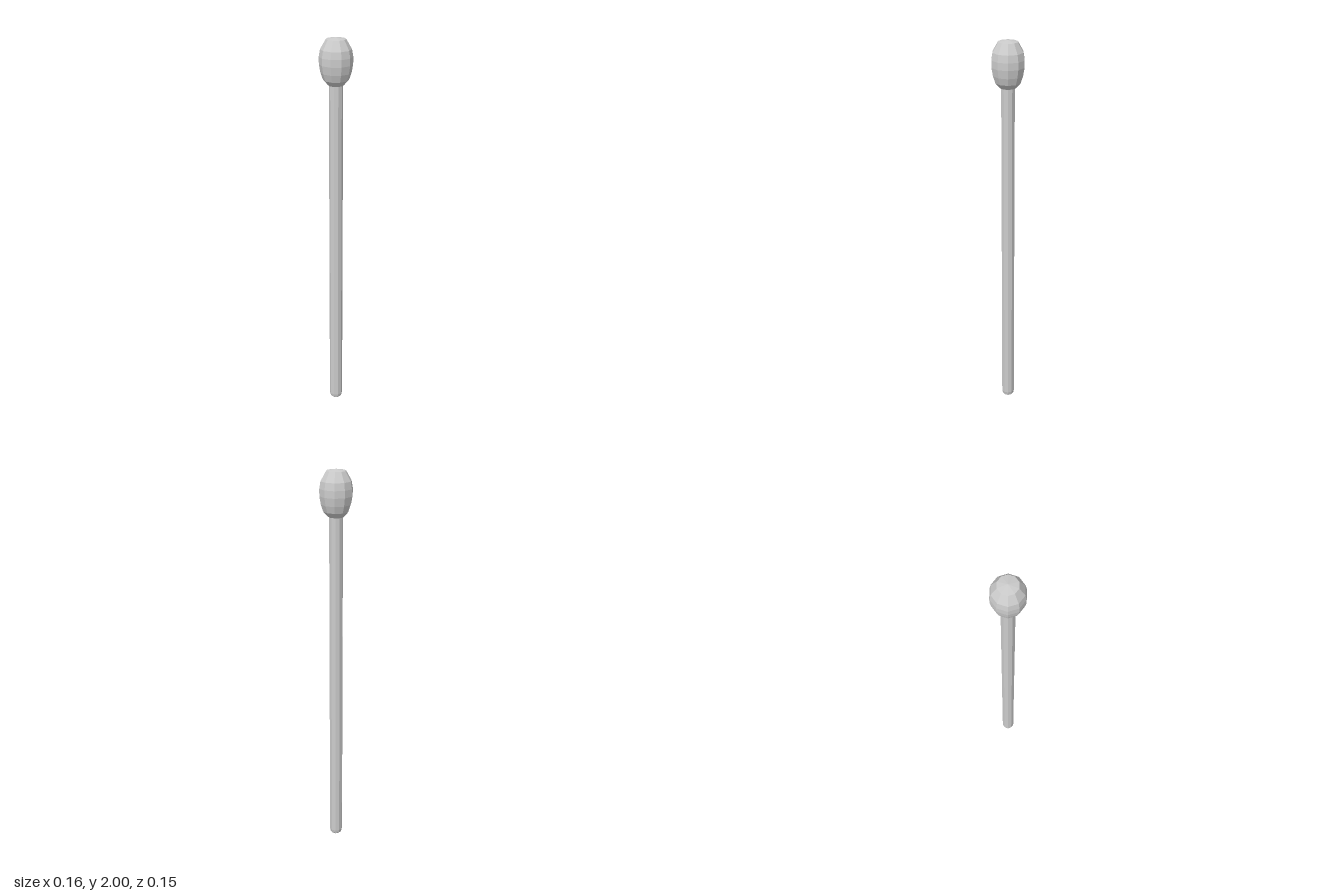
import * as THREE from 'three';

const SIDES = 10;

// Faceted turned part from [radius, y] pairs, with a corner on the x axis
function turned(name, profile) {
  const points = profile.map(([r, y]) => new THREE.Vector2(r, y));
  const geometry = new THREE.LatheGeometry(points, SIDES, Math.PI / 2);
  const material = new THREE.MeshStandardMaterial({ color: 0xcccccc, flatShading: true });
  const mesh = new THREE.Mesh(geometry, material);
  mesh.name = name;
  return mesh;
}

export function createModel() {
  const model = new THREE.Group();
  model.name = 'swab';

  // Long thin stick with a rounded lower end
  model.add(turned('stick', [
    [0, 0], [0.02, 0.003], [0.03, 0.012], [0.034, 0.03],
    [0.034, 1.8], [0, 1.8],
  ]));

  // Bulbous head with a nearly flat top
  model.add(turned('head', [
    [0, 1.772], [0.038, 1.774], [0.062, 1.8], [0.074, 1.835], [0.081, 1.875],
    [0.081, 1.91], [0.075, 1.945], [0.048, 1.992], [0, 2],
  ]));

  return model;
}
